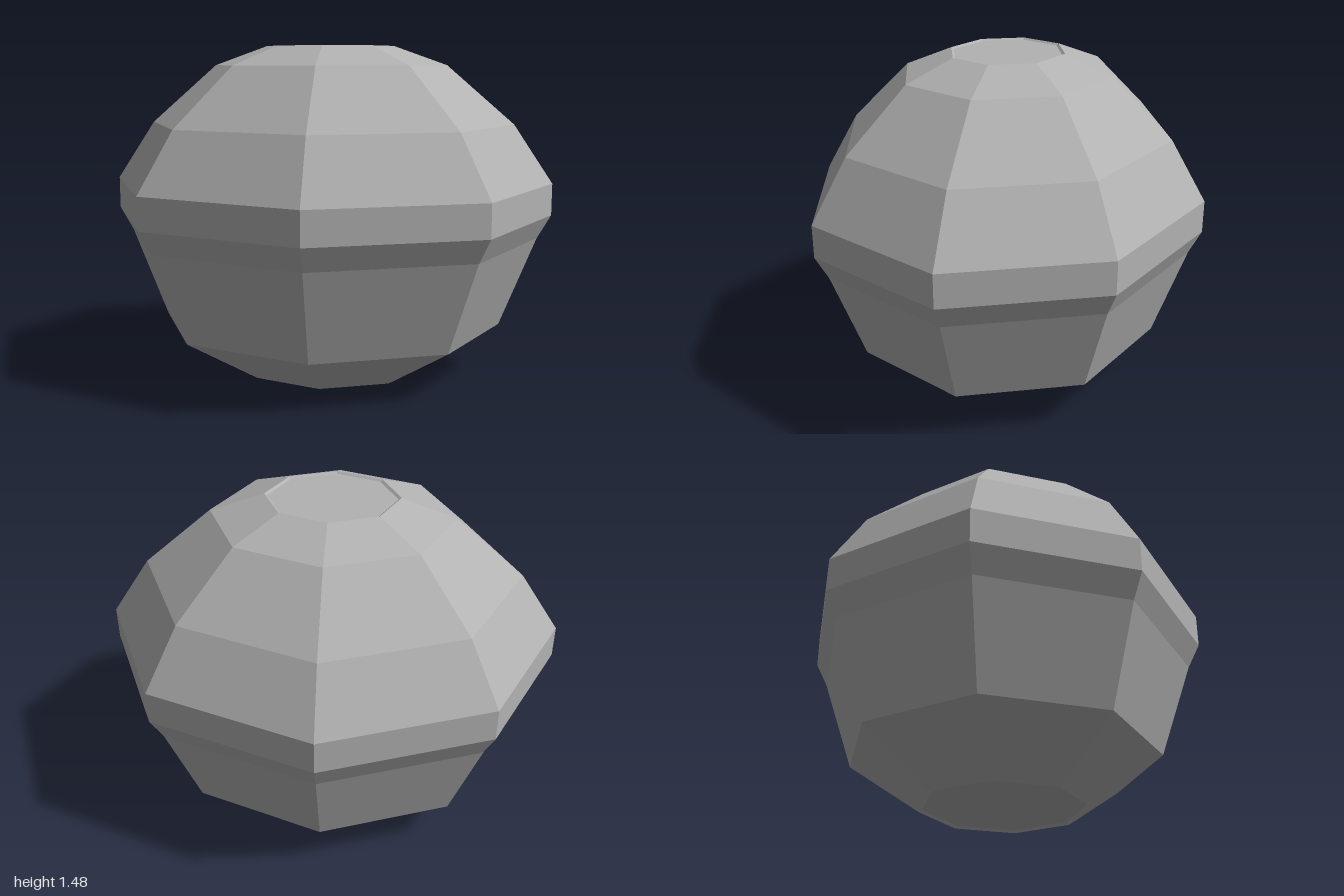
import * as THREE from 'three';

const DEPTH = 0.885; // depth relative to width

// Eight-sided faceted band turned from [radius, height] pairs, bottom to top
function facetedLathe(name, profile, material) {
  const points = profile.map(([r, y]) => new THREE.Vector2(r, y));
  const geometry = new THREE.LatheGeometry(points, 8).scale(1, 1, DEPTH).toNonIndexed();
  geometry.computeVertexNormals();
  const mesh = new THREE.Mesh(geometry, material);
  mesh.name = name;
  return mesh;
}

// Flat eight-sided cap, facing up (1) or down (-1)
function cap(name, radius, y, facing, material) {
  const geometry = new THREE.CircleGeometry(radius, 8);
  geometry.rotateX(-facing * Math.PI / 2).scale(1, 1, DEPTH).translate(0, y, 0);
  const mesh = new THREE.Mesh(geometry, material);
  mesh.name = name;
  return mesh;
}

export function createModel() {
  const group = new THREE.Group();
  group.name = 'facetedBoulder';

  const stone = new THREE.MeshStandardMaterial({ color: 0xb2b2b2 });
  stone.name = 'stone grey';

  group.add(
    // outer shell, with small lips turned inward at both ends
    facetedLathe('shell', [
      [0.405, 0.01], [0.418, 0], [0.78, 0.215], [0.94, 0.62], [1, 0.725],
      [1, 0.868], [0.825, 1.13], [0.525, 1.39], [0.288, 1.475], [0.276, 1.467],
    ], stone),
    // slightly sunken end faces
    cap('topCap', 0.276, 1.467, 1, stone),
    cap('bottomCap', 0.405, 0.01, -1, stone),
  );
  return group;
}
